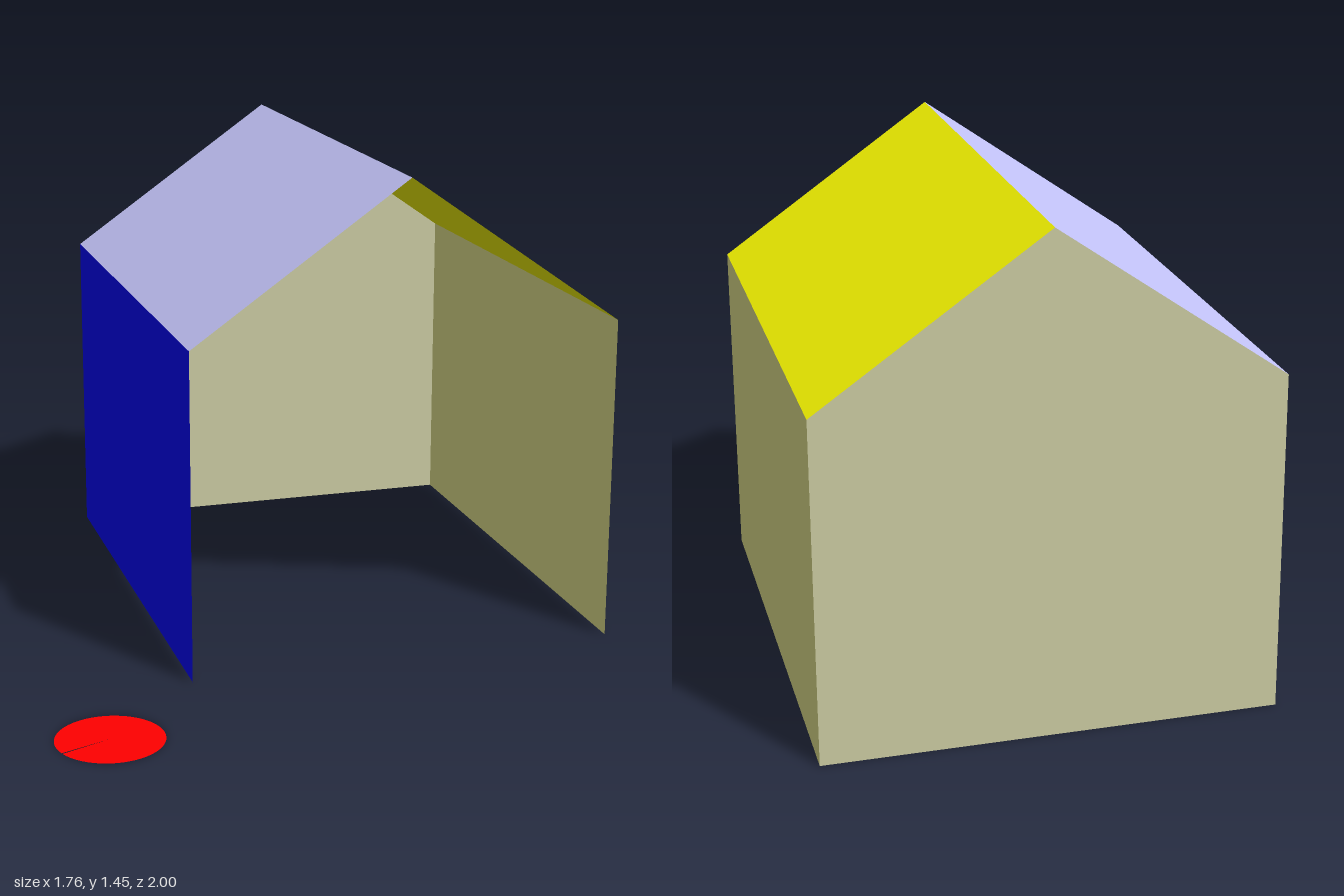
import * as THREE from 'three';

const LEFT = -0.42, RIGHT = 0.88, RIDGE_X = 0.23;
const EAVE_Y = 0.99, RIDGE_Y = 1.445;
const BACK = -1, FRONT = 0.535;

function sheet(name, geometry, color) {
  const material = new THREE.MeshStandardMaterial({ color, side: THREE.DoubleSide, flatShading: true });
  const mesh = new THREE.Mesh(geometry, material);
  mesh.name = name;
  return mesh;
}

// Rectangular panel running from back to front between two points of the house outline
function panel(name, [x0, y0], [x1, y1], color) {
  const geometry = new THREE.BufferGeometry();
  geometry.setAttribute('position', new THREE.Float32BufferAttribute([
    x0, y0, FRONT, x0, y0, BACK, x1, y1, BACK, x1, y1, FRONT,
  ], 3));
  geometry.setIndex([0, 1, 2, 0, 2, 3]);
  geometry.computeVertexNormals();
  return sheet(name, geometry, color);
}

export function createModel() {
  const group = new THREE.Group();
  group.name = 'openHouse';

  // Side walls and roof slopes, outward-facing from +x round to -x
  const outline = [[RIGHT, 0], [RIGHT, EAVE_Y], [RIDGE_X, RIDGE_Y], [LEFT, EAVE_Y], [LEFT, 0]];
  const panels = [
    ['oliveSideWall', 0xe0e08c],
    ['yellowRoofSlope', 0xffff00],
    ['lavenderRoofSlope', 0xc8c8ff],
    ['blueSideWall', 0x0000ff],
  ];
  panels.forEach(([name, color], i) => group.add(panel(name, outline[i], outline[i + 1], color)));

  // Gabled back wall; the front stays open
  const gable = new THREE.Shape(outline.map(([x, y]) => new THREE.Vector2(x, y)));
  const backWall = sheet('backWall', new THREE.ShapeGeometry(gable), 0xcccca3);
  backWall.rotation.y = 0;
  backWall.position.z = BACK;
  group.add(backWall);

  // Red ground disc with a hairline slit along one radius
  const slit = 0.03, slitAngle = 3.5;
  const disc = sheet('groundDisc',
    new THREE.CircleGeometry(0.153, 64, slitAngle + slit / 2, Math.PI * 2 - slit), 0xff0000);
  disc.rotation.x = -Math.PI / 2;
  disc.position.set(-0.73, 0, 0.845);
  group.add(disc);

  return group;
}
